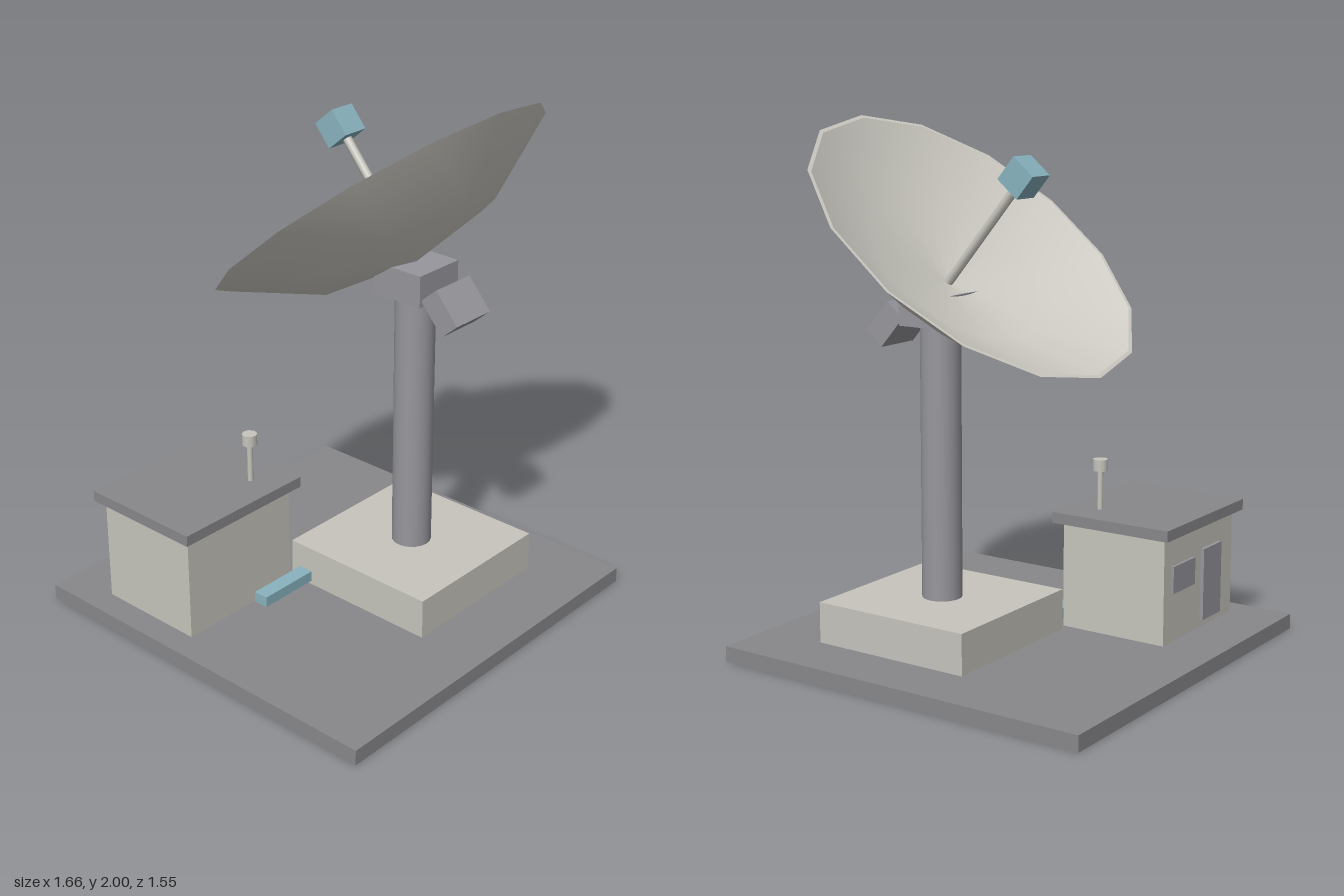
import * as THREE from 'three';

const mat = (name, color, side = THREE.FrontSide) => {
  const m = new THREE.MeshStandardMaterial({ color, side });
  m.name = name;
  return m;
};

export function createModel() {
  const model = new THREE.Group();
  model.name = 'satelliteGroundStation';

  const concrete = mat('slabGrey', 0x88878a);
  const metal = mat('metalGrey', 0x97969c);
  const pale = mat('paleGrey', 0xc6c4bc);
  const dishPaint = mat('dishWhite', 0xcfcdc5);
  const blue = mat('paleBlue', 0x88b2be);

  const add = (name, geometry, material, x, y, z, parent = model) => {
    const mesh = new THREE.Mesh(geometry, material);
    mesh.name = name;
    mesh.position.set(x, y, z);
    parent.add(mesh);
    return mesh;
  };
  // box given by its extents on each axis
  const box = (name, material, [x0, x1], [y0, y1], [z0, z1], parent) =>
    add(name, new THREE.BoxGeometry(x1 - x0, y1 - y0, z1 - z0), material,
      (x0 + x1) / 2, (y0 + y1) / 2, (z0 + z1) / 2, parent);
  // upright post from y0 to y1
  const post = (name, material, r, sides, x, y0, y1, z, parent) =>
    add(name, new THREE.CylinderGeometry(r, r, y1 - y0, sides), material, x, (y0 + y1) / 2, z, parent);

  // ground slab, plinth and mast
  box('groundSlab', concrete, [-0.83, 0.72], [0, 0.06], [-0.777, 0.777]);
  box('plinth', pale, [-0.165, 0.487], [0.06, 0.217], [-0.14, 0.515]);
  post('mast', metal, 0.076, 20, 0.161, 0.217, 1.25, 0.188);
  box('mastHead', metal, [0.053, 0.269], [1.25, 1.372], [0.08, 0.297]);

  // equipment hut
  const hut = new THREE.Group();
  hut.name = 'hut';
  model.add(hut);
  box('hutWalls', pale, [-0.728, -0.2], [0.06, 0.472], [-0.563, -0.122], hut);
  box('hutRoof', concrete, [-0.758, -0.165], [0.472, 0.514], [-0.594, -0.092], hut);
  box('hutDoor', metal, [-0.62, -0.48], [0.09, 0.372], [-0.577, -0.56], hut);
  box('hutWindow', metal, [-0.42, -0.255], [0.25, 0.355], [-0.573, -0.56], hut);
  post('ventPipe', pale, 0.011, 10, -0.307, 0.514, 0.67, -0.217, hut);
  post('ventCap', pale, 0.029, 10, -0.307, 0.666, 0.71, -0.217, hut);

  // cable duct between hut and plinth
  box('cableDuct', blue, [-0.415, -0.15], [0.075, 0.117], [-0.1, -0.04]);

  // tilted dish assembly: local y is the dish axis, origin at the rim centre
  const dish = new THREE.Group();
  dish.name = 'dish';
  dish.position.set(0.161, 1.562, 0.022);
  dish.rotation.x = -THREE.MathUtils.degToRad(40);
  model.add(dish);

  const lathe = (name, points) =>
    add(name, new THREE.LatheGeometry(points.map(([r, y]) => new THREE.Vector2(r, y)), 14),
      dishPaint, 0, 0, 0, dish);
  lathe('dishBack', [[0, -0.255], [0.366, -0.19], [0.685, 0]]);
  lathe('dishRim', [[0.685, 0], [0.67, 0]]);
  lathe('dishBowl', [[0.67, 0], [0.355, -0.148], [0, -0.2]]);

  // feed arm with receiver
  post('feedArm', pale, 0.018, 8, 0, -0.21, 0.27, 0, dish);
  box('receiver', blue, [-0.054, 0.054], [0.26, 0.366], [-0.053, 0.053], dish);

  // counterweight behind the mast head
  const weight = add('counterweight', new THREE.BoxGeometry(0.19, 0.15, 0.09), metal, 0.161, 1.247, 0.375);
  weight.rotation.x = -THREE.MathUtils.degToRad(41);

  return model;
}
